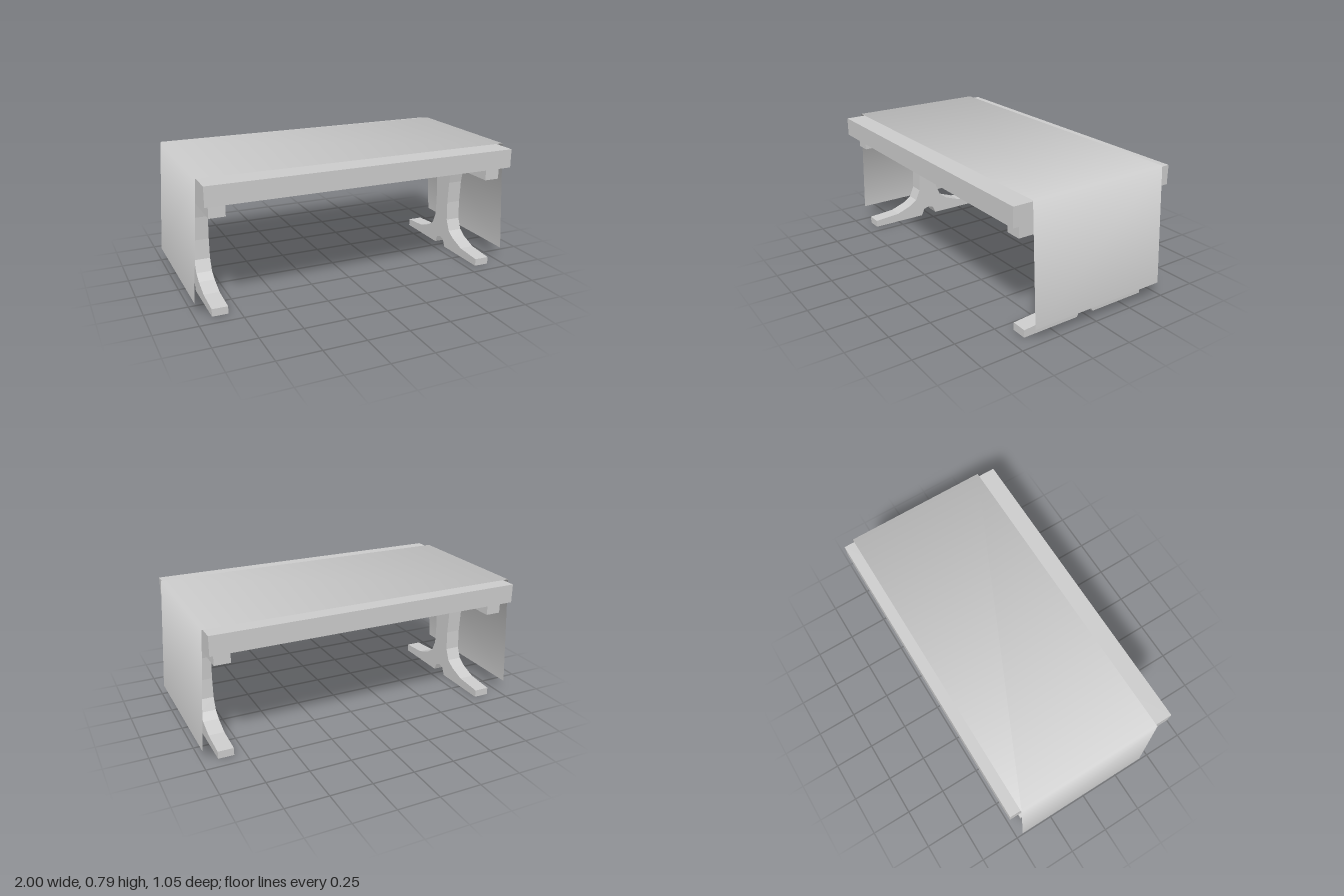
import * as THREE from 'three';

const grey = new THREE.MeshStandardMaterial({ color: 0xcccccc });
const clothGrey = new THREE.MeshStandardMaterial({ color: 0xcccccc, side: THREE.DoubleSide });

// Trestle side outline (z, y): one half from the foot arch up to the cap, then mirrored
function trestleGeometry(width) {
  const half = [
    [0.037, 0.045], [0.057, 0], [0.42, 0], [0.42, 0.045], [0.25, 0.058],
    [0.15, 0.095], [0.1, 0.13], [0.07, 0.2], [0.066, 0.32], [0.075, 0.46],
    [0.1, 0.582], [0.465, 0.582], [0.465, 0.665],
  ];
  const outline = [[0, 0.058], ...half, ...half.map(([z, y]) => [-z, y]).reverse()];
  const shape = new THREE.Shape(outline.map(([z, y]) => new THREE.Vector2(z, y)));
  return new THREE.ExtrudeGeometry(shape, { depth: width, bevelEnabled: false })
    .translate(0, 0, -width / 2)
    .rotateY(Math.PI / 2);
}

// Thin sheet draped over the top and hanging down both ends, softly shaded over the corners
function clothGeometry() {
  const profile = [
    { p: [-1, 0.095], n: [-1, 0.06] },
    { p: [-0.955, 0.79], n: [-0.53, 0.85] },
    { p: [0.955, 0.79], n: [0.53, 0.85] },
    { p: [1, 0.095], n: [1, 0.06] },
  ];
  const positions = [], normals = [], index = [];
  profile.forEach(({ p, n }, i) => {
    for (const z of [0.42, -0.463]) {
      positions.push(p[0], p[1], z);
      normals.push(n[0], n[1], 0);
    }
    if (i > 0) {
      const a = 2 * i - 2;
      index.push(a, a + 2, a + 1, a + 1, a + 2, a + 3);
    }
  });
  const geometry = new THREE.BufferGeometry();
  geometry.setAttribute('position', new THREE.Float32BufferAttribute(positions, 3));
  geometry.setAttribute('normal', new THREE.Float32BufferAttribute(normals, 3));
  geometry.setIndex(index);
  geometry.normalizeNormals();
  return geometry;
}

export function createModel() {
  const table = new THREE.Group();
  table.name = 'table';
  const add = (name, geometry, material = grey) => {
    const mesh = new THREE.Mesh(geometry, material);
    mesh.name = name;
    table.add(mesh);
    return mesh;
  };

  // Thick plank top
  add('tableTop', new THREE.BoxGeometry(1.885, 0.113, 1.055)).position.set(0, 0.7215, 0);

  // Matching trestles near both ends
  const trestle = trestleGeometry(0.093);
  add('leftTrestle', trestle).position.x = 0.86;
  add('rightTrestle', trestle).position.x = -0.863;

  // Tablecloth
  add('tablecloth', clothGeometry(), clothGrey);

  return table;
}
